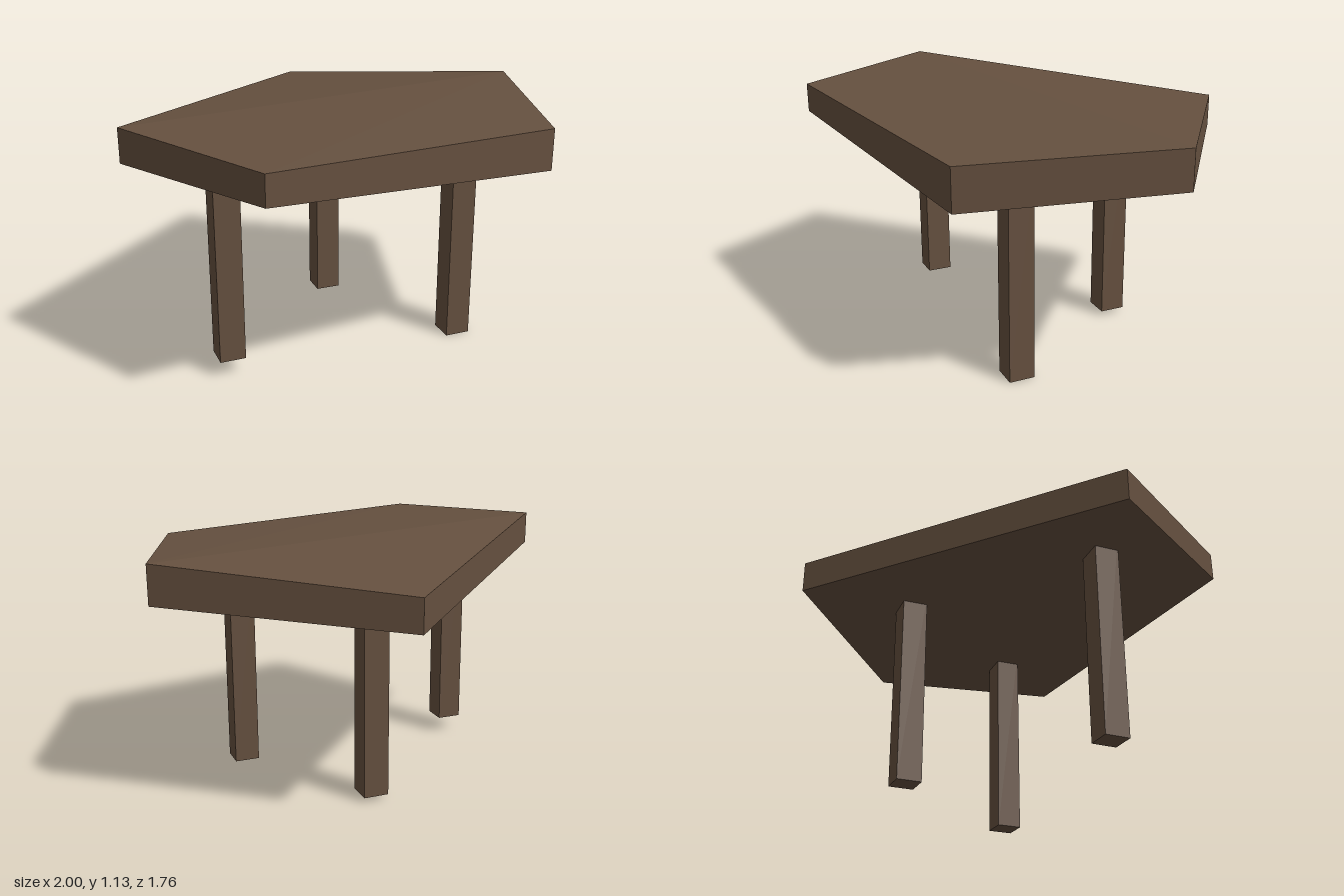
import * as THREE from 'three';

// Table top corners, clockwise from above: x, z, underside y, upper y
const corners = [
  [0.10, -0.885, 0.885, 1.03],
  [1.0, -0.21, 0.925, 1.10],
  [0.73, 0.66, 0.88, 1.065],
  [-0.61, 0.88, 0.975, 1.105],
  [-1.0, 0.195, 0.98, 1.13],
];

// Slightly warped five-sided slab
function slabGeometry() {
  const n = corners.length;
  const low = corners.map(([x, z, y]) => [x, y, z]);
  const high = corners.map(([x, z, , y]) => [x, y, z]);
  const pos = [];
  const tri = (a, b, c) => pos.push(...a, ...b, ...c);
  for (let i = 0; i < n; i++) {
    const j = (i + 1) % n;
    tri(low[i], high[i], high[j]);
    tri(low[i], high[j], low[j]);
  }
  for (let k = 1; k < n - 1; k++) {
    tri(high[1], high[(k + 2) % n], high[k + 1]); // upper face, fanned from the right corner
    tri(low[0], low[k], low[k + 1]); // underside, fanned from the back corner
  }
  const geo = new THREE.BufferGeometry();
  geo.setAttribute('position', new THREE.Float32BufferAttribute(pos, 3));
  geo.computeVertexNormals();
  return geo;
}

export function createModel() {
  const group = new THREE.Group();
  group.name = 'table';
  const wood = new THREE.MeshStandardMaterial({ color: 0x65503f });
  wood.name = 'dark wood';

  const top = new THREE.Mesh(slabGeometry(), wood);
  top.name = 'tableTop';
  group.add(top);

  // Square legs: name, x, z, foot height, top height
  const legs = [
    ['frontLeftLeg', 0.488, 0.298, 0, 0.95],
    ['backLeg', 0.088, -0.362, 0.02, 0.96],
    ['frontRightLeg', -0.605, 0.28, 0.075, 1.02],
  ];
  for (const [name, x, z, y0, y1] of legs) {
    const leg = new THREE.Mesh(new THREE.BoxGeometry(0.115, y1 - y0, 0.115), wood);
    leg.name = name;
    leg.position.set(x, (y0 + y1) / 2, z);
    group.add(leg);
  }
  return group;
}
